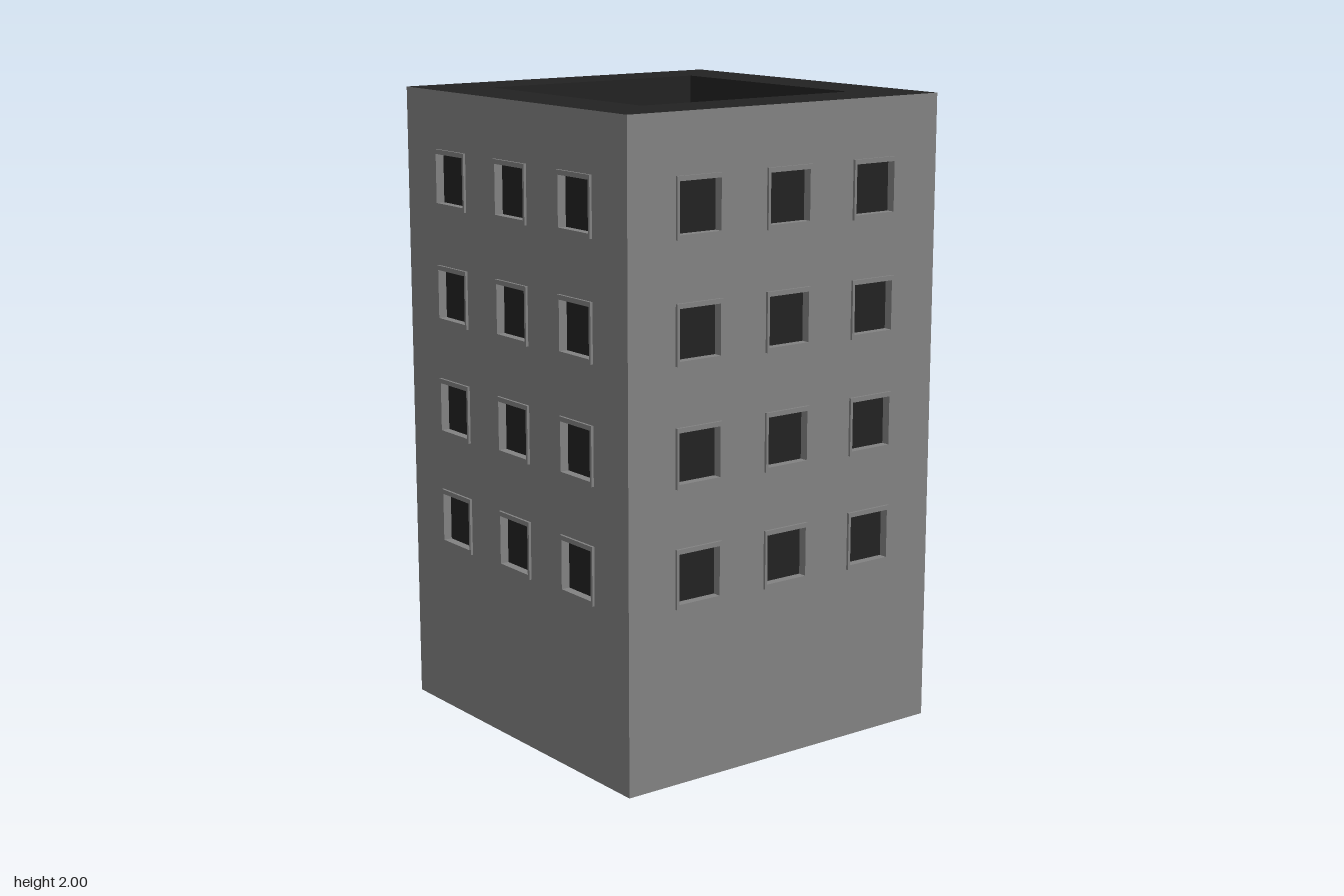
import * as THREE from 'three';

const HEIGHT = 2;
const HALF = 0.586;    // half width of the tower
const SHAFT = 0.392;   // half width of the open shaft
const RECESS = 0.02;   // window panes sit this far behind the wall
const PROUD = 0.008;   // window frames stand this far out of it
const OPEN_W = 0.15, OPEN_H = 0.153, FRAME_W = 0.167, FRAME_H = 0.182;
const COLUMNS = [-0.333, 0, 0.333];
const ROWS = [0.638, 1.001, 1.364, 1.728];

function rect(Type, cx, cy, w, h) {
  return new Type([
    new THREE.Vector2(cx - w / 2, cy - h / 2),
    new THREE.Vector2(cx + w / 2, cy - h / 2),
    new THREE.Vector2(cx + w / 2, cy + h / 2),
    new THREE.Vector2(cx - w / 2, cy + h / 2),
  ]);
}

function ring(outerW, outerH, innerW, innerH) {
  const shape = rect(THREE.Shape, 0, 0, outerW, outerH);
  shape.holes.push(rect(THREE.Path, 0, 0, innerW, innerH));
  return shape;
}

export function createModel() {
  const model = new THREE.Group();
  model.name = 'tower';
  const wallMat = new THREE.MeshStandardMaterial({ color: 0x828282 });
  const darkMat = new THREE.MeshStandardMaterial({ color: 0x222222 });

  function add(parent, name, geometry, material) {
    const mesh = new THREE.Mesh(geometry, material);
    mesh.name = name;
    parent.add(mesh);
    return mesh;
  }

  // Dark hollow core: shaft walls, and the panes seen through the openings
  const coreW = 2 * (HALF - RECESS);
  const core = new THREE.ExtrudeGeometry(ring(coreW, coreW, 2 * SHAFT, 2 * SHAFT),
    { depth: HEIGHT, bevelEnabled: false });
  core.rotateX(-Math.PI / 2);
  add(model, 'core', core, darkMat);

  // Dark rims reaching from the core to the outer walls, top and bottom
  const rim = new THREE.ShapeGeometry(ring(2 * HALF, 2 * HALF, coreW, coreW));
  const topRim = add(model, 'topRim', rim, darkMat);
  topRim.rotation.x = -Math.PI / 2;
  topRim.position.y = HEIGHT;
  add(model, 'bottomRim', rim, darkMat).rotation.x = Math.PI / 2;

  // Wall sheet with window openings
  const wallShape = rect(THREE.Shape, 0, HEIGHT / 2, 2 * HALF, HEIGHT);
  for (const x of COLUMNS) {
    for (const y of ROWS) wallShape.holes.push(rect(THREE.Path, x, y, OPEN_W, OPEN_H));
  }
  const wallGeo = new THREE.ShapeGeometry(wallShape);

  // Frame lining each opening from the pane outwards
  const frameGeo = new THREE.ExtrudeGeometry(ring(FRAME_W, FRAME_H, OPEN_W, OPEN_H),
    { depth: RECESS + PROUD, bevelEnabled: false });

  ['front', 'left', 'back', 'right'].forEach((side, i) => {
    const facade = new THREE.Group();
    facade.name = side + 'Facade';
    facade.rotation.y = i * Math.PI / 2;
    add(facade, 'wall', wallGeo, wallMat).position.z = HALF;
    for (const x of COLUMNS) {
      for (const y of ROWS) {
        add(facade, 'windowFrame', frameGeo, wallMat).position.set(x, y, HALF - RECESS);
      }
    }
    model.add(facade);
  });

  return model;
}
